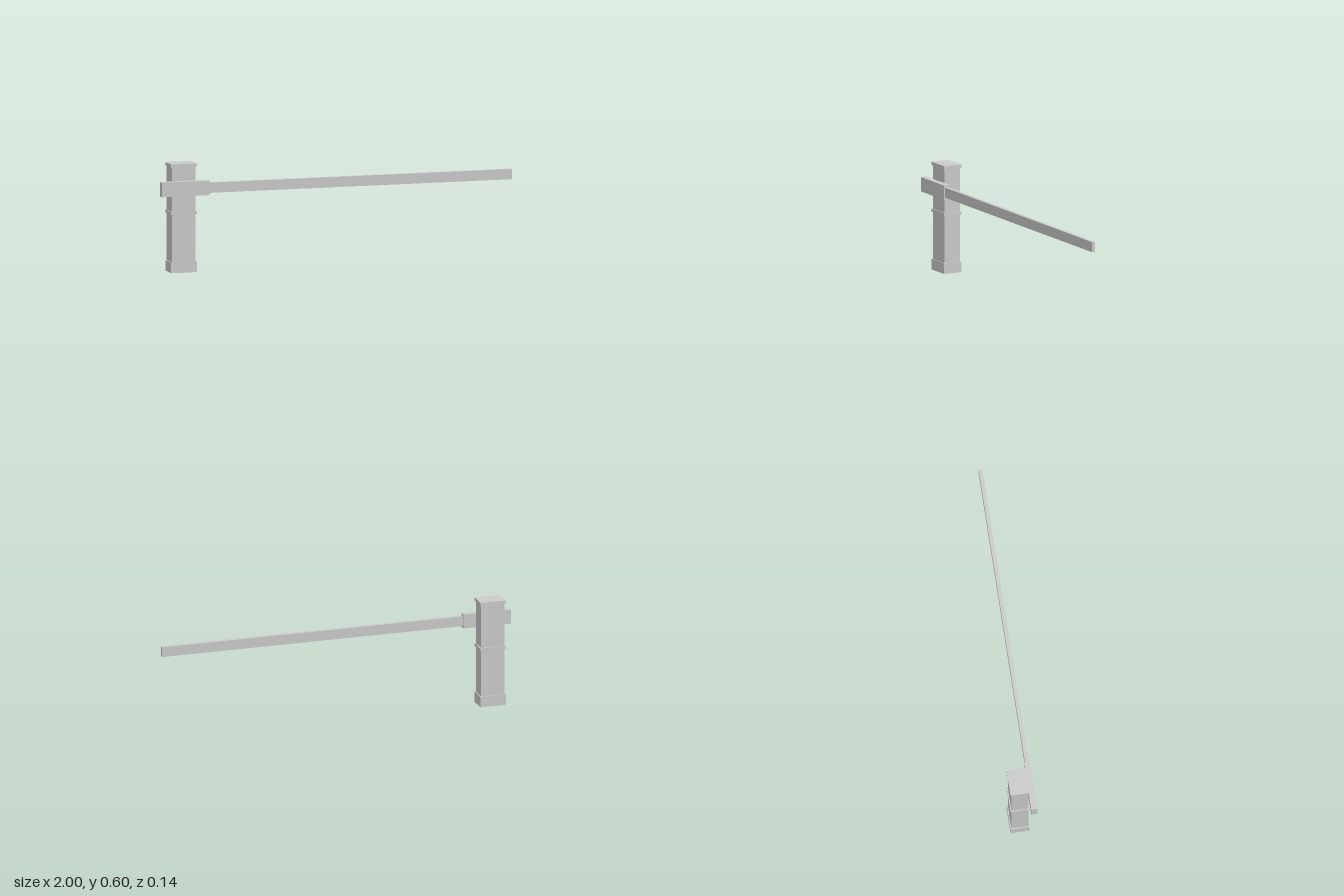
import * as THREE from 'three';

const material = new THREE.MeshStandardMaterial({ color: 0xcccccc, flatShading: true });

// Box given by its [min, max] range on each axis
function box(name, [x0, x1], [y0, y1], [z0, z1]) {
  const mesh = new THREE.Mesh(new THREE.BoxGeometry(x1 - x0, y1 - y0, z1 - z0), material);
  mesh.name = name;
  mesh.position.set((x0 + x1) / 2, (y0 + y1) / 2, (z0 + z1) / 2);
  return mesh;
}

export function createModel() {
  const model = new THREE.Group();
  model.name = 'barrierGate';

  // Square post with a wider base, middle band and cap
  const post = new THREE.Group();
  post.name = 'post';
  const trimX = [-0.937, -0.79], trimZ = [-0.069, 0.036];
  post.add(
    box('postShaft', [-0.931, -0.796], [0.059, 0.581], [-0.063, 0.031]),
    box('postBase', trimX, [0, 0.059], trimZ),
    box('postBand', trimX, [0.32, 0.338], trimZ),
    box('postCap', trimX, [0.581, 0.599], trimZ),
  );

  // Long arm held by a thicker mounting block on the front of the post
  const boom = new THREE.Group();
  boom.name = 'boom';
  boom.add(
    box('boomMount', [-1, -0.727], [0.426, 0.506], [0.036, 0.07]),
    box('boomArm', [-0.727, 1], [0.438, 0.494], [0.043, 0.064]),
  );

  model.add(post, boom);
  return model;
}
